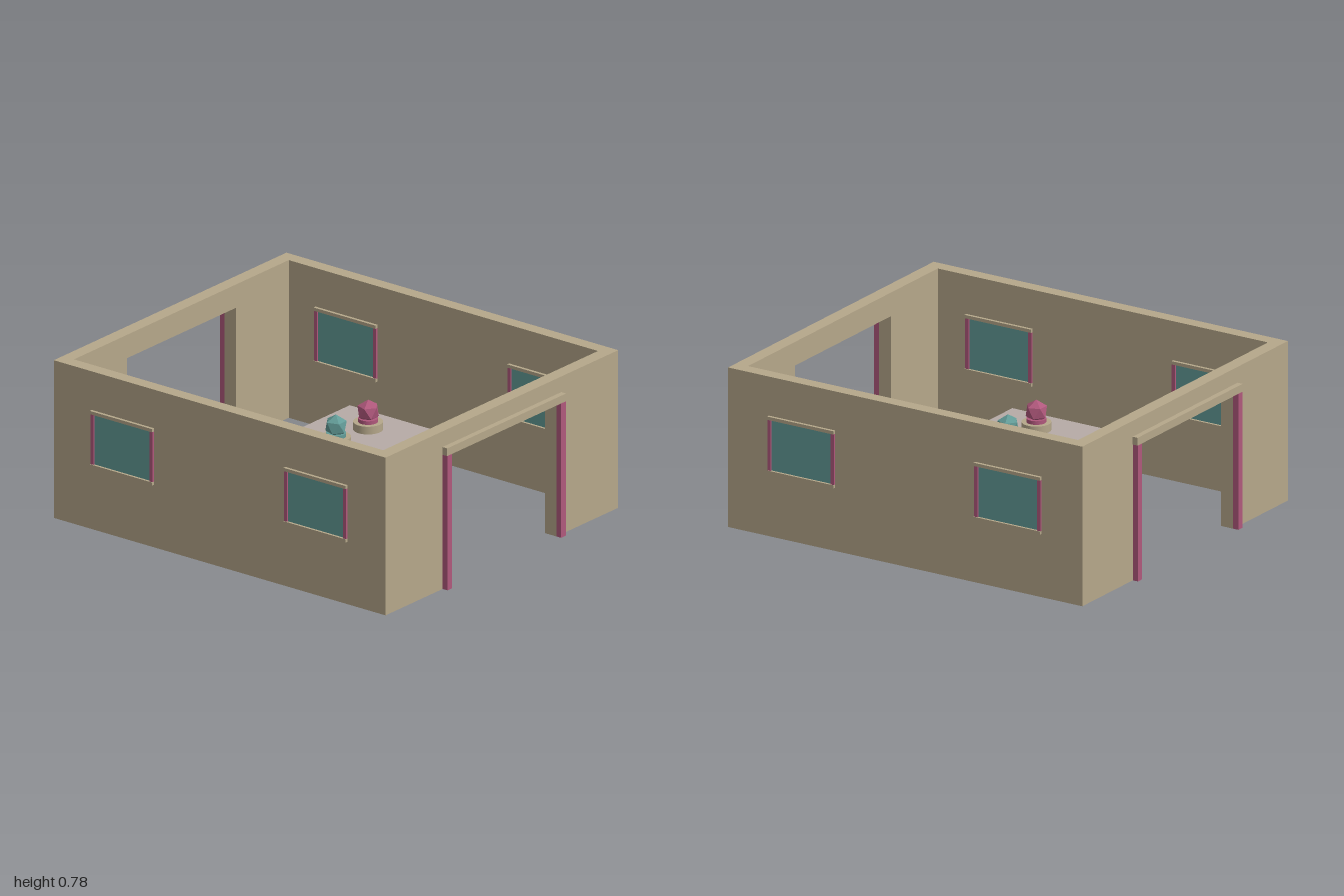
import * as THREE from 'three';

const material = (name, color) => {
  const m = new THREE.MeshStandardMaterial({ color });
  m.name = name;
  return m;
};

export function createModel() {
  const stone = material('sandstone', 0xb5a78a);
  const pink = material('rose trim', 0xb0587c);
  const teal = material('teal glass', 0x629b97);
  const wood = material('wood', 0x966c4b);
  const grey = material('grey slab', 0xb6aba6);

  const root = new THREE.Group();
  root.name = 'displayRoom';

  const add = (parent, name, geometry, mat) => {
    const mesh = new THREE.Mesh(geometry, mat);
    mesh.name = name;
    parent.add(mesh);
    return mesh;
  };
  // Box given by its lower and upper corners
  const box = (parent, name, mat, [x0, y0, z0], [x1, y1, z1]) => {
    const g = new THREE.BoxGeometry(x1 - x0, y1 - y0, z1 - z0);
    g.translate((x0 + x1) / 2, (y0 + y1) / 2, (z0 + z1) / 2);
    return add(parent, name, g, mat);
  };

  const W = 0.855, D = 0.972, H = 0.777, T = 0.066;
  const doorX = 0.4, doorY = 0.662;

  // Front and back walls, each with a doorway and outer door trim
  const outline = new THREE.Shape([
    [-W, 0], [-doorX, 0], [-doorX, doorY], [doorX, doorY],
    [doorX, 0], [W, 0], [W, H], [-W, H],
  ].map(([x, y]) => new THREE.Vector2(x, y)));
  for (const back of [false, true]) {
    const end = new THREE.Group();
    end.name = back ? 'backEnd' : 'frontEnd';
    const wall = new THREE.ExtrudeGeometry(outline, { depth: T, bevelEnabled: false });
    wall.translate(0, 0, D - T);
    add(end, 'doorwayWall', wall, stone);
    box(end, 'rightDoorJamb', pink, [-0.435, 0, D], [-doorX, doorY, 1]);
    box(end, 'leftDoorJamb', pink, [doorX, 0, D], [0.435, doorY, 1]);
    box(end, 'doorLintel', stone, [-0.437, doorY, D], [0.437, 0.7, 1]);
    if (back) end.rotation.y = Math.PI;
    root.add(end);
  }

  // Framed window on one wall face, looking along +x
  const makeWindow = () => {
    const w = new THREE.Group();
    w.name = 'window';
    const z = 0.182, s = 0.164;
    box(w, 'windowGlass', teal, [0, 0.324, -s], [0.003, 0.571, s]);
    box(w, 'windowSill', stone, [0, 0.308, -z], [0.015, 0.324, z]);
    box(w, 'windowHead', stone, [0, 0.571, -z], [0.015, 0.587, z]);
    for (const k of [-1, 1]) {
      const jamb = box(w, 'windowJamb', pink, [0, 0.324, -0.009], [0.011, 0.571, 0.009]);
      jamb.position.z = k * (z - 0.009);
    }
    return w;
  };

  // Side walls with two windows, framed inside and outside
  for (const side of [-1, 1]) {
    const group = new THREE.Group();
    group.name = side > 0 ? 'leftSide' : 'rightSide';
    box(group, 'sideWall', stone, [W - T, 0, -D + T], [W, H, D - T]);
    for (const z of [-0.567, 0.567]) {
      const outer = makeWindow();
      outer.position.set(W, 0, z);
      const inner = makeWindow();
      inner.position.set(W - T, 0, z);
      inner.rotation.y = Math.PI;
      group.add(outer, inner);
    }
    if (side < 0) group.rotation.y = Math.PI;
    root.add(group);
  }

  // Table
  const table = new THREE.Group();
  table.name = 'table';
  box(table, 'tableTop', grey, [-0.415, 0.33, -0.25], [0.415, 0.34, 0.25]);
  box(table, 'tableApron', wood, [-0.4, 0.263, -0.24], [0.4, 0.33, 0.24]);
  for (const x of [-0.341, 0.341]) {
    box(table, 'tableLeg', wood, [x - 0.034, 0, -0.2], [x + 0.034, 0.263, 0.2]);
  }
  root.add(table);

  // Icosahedral gem turned to stand on a point
  const gemGeometry = new THREE.IcosahedronGeometry(0.055, 0);
  gemGeometry.rotateZ(Math.atan(2 / (1 + Math.sqrt(5))));
  gemGeometry.rotateY(Math.PI / 2);

  // Three gems on round plinths
  [[-0.236, pink], [0, teal], [0.236, pink]].forEach(([x, mat]) => {
    const exhibit = new THREE.Group();
    exhibit.name = 'gemExhibit';
    exhibit.position.x = x;
    add(exhibit, 'plinth', new THREE.CylinderGeometry(0.069, 0.069, 0.038, 24), stone).position.y = 0.359;
    add(exhibit, 'gemCollar', new THREE.CylinderGeometry(0.046, 0.046, 0.018, 24), mat).position.y = 0.387;
    const gem = add(exhibit, 'gem', gemGeometry, mat);
    gem.position.y = 0.43;
    if (mat === teal) gem.rotation.y = Math.PI;
    root.add(exhibit);
  });

  return root;
}
